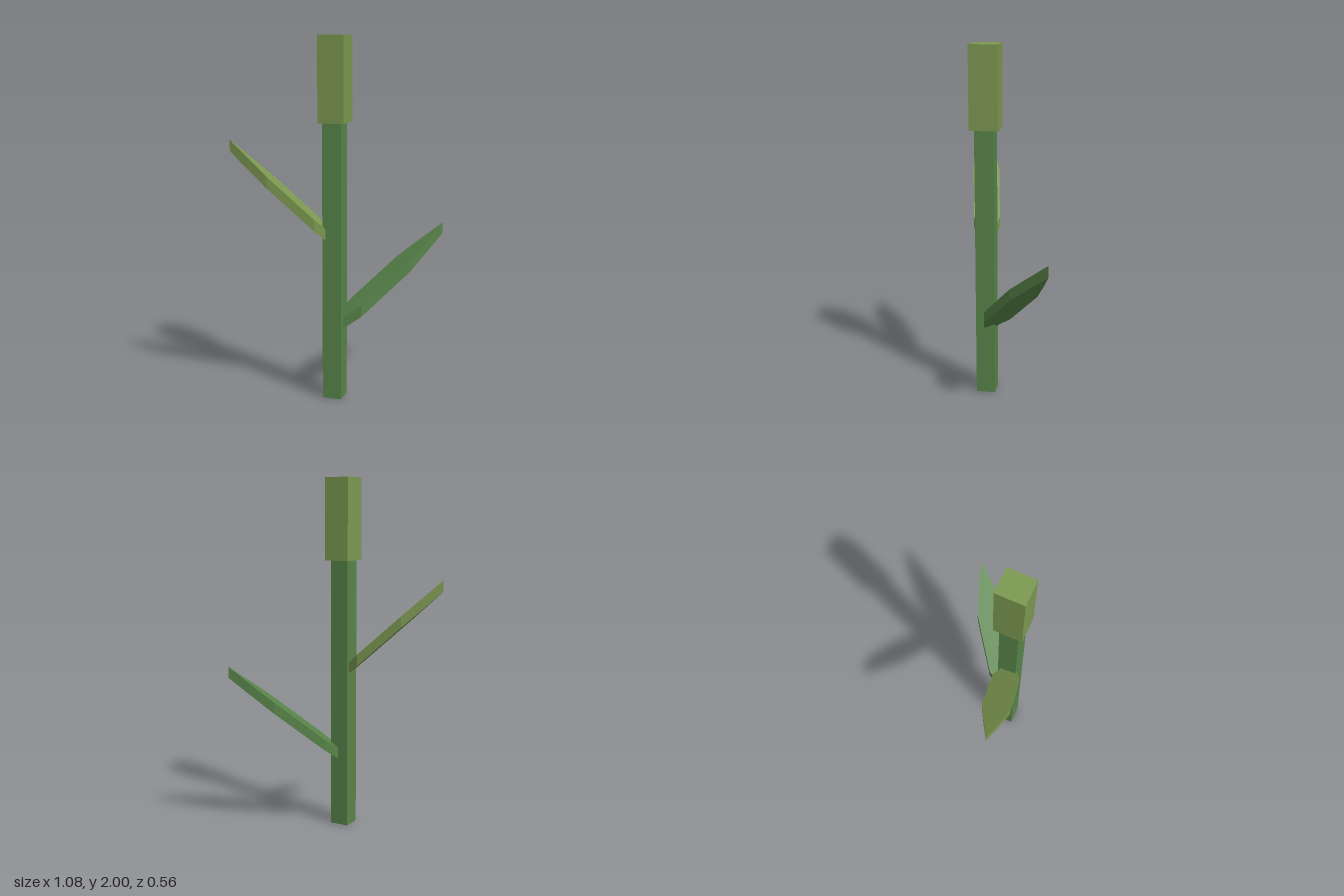
import * as THREE from 'three';

const stemGreen = new THREE.MeshStandardMaterial({ name: 'stemGreen', color: 0x588449 });
const oliveGreen = new THREE.MeshStandardMaterial({ name: 'oliveGreen', color: 0x7c9850 });

// Square post between two heights
function post(name, material, [x0, x1], [y0, y1], [z0, z1]) {
  const mesh = new THREE.Mesh(new THREE.BoxGeometry(x1 - x0, y1 - y0, z1 - z0), material);
  mesh.position.set((x0 + x1) / 2, (y0 + y1) / 2, (z0 + z1) / 2);
  mesh.name = name;
  return mesh;
}

// Leaf blade: an outline in plan (x, z), given thickness, then sheared
// so that its upper face lies on the plane y = base + slopeX * x + slopeZ * z
function leaf(name, material, outline, base, slopeX, slopeZ) {
  const thickness = 0.064;
  const shape = new THREE.Shape(outline.map(([x, z]) => new THREE.Vector2(x, -z)));
  const geometry = new THREE.ExtrudeGeometry(shape, { depth: thickness, bevelEnabled: false });
  geometry.rotateX(-Math.PI / 2);
  const p = geometry.attributes.position;
  for (let i = 0; i < p.count; i++) {
    p.setY(i, p.getY(i) - thickness + base + slopeX * p.getX(i) + slopeZ * p.getZ(i));
  }
  geometry.computeVertexNormals();
  const mesh = new THREE.Mesh(geometry, material);
  mesh.name = name;
  return mesh;
}

export function createModel() {
  const plant = new THREE.Group();
  plant.name = 'plant';

  // Stem and bud
  plant.add(post('stem', stemGreen, [-0.026, 0.081], [0, 1.54], [0.083, 0.19]));
  plant.add(post('bud', oliveGreen, [-0.043, 0.102], [1.54, 2], [0.055, 0.215]));

  // Lower leaf, leaning to the left and back
  plant.add(leaf('lowerLeaf', stemGreen, [
    [0.03, 0.152], [0.175, 0.125], [0.40, -0.055], [0.48, -0.18], [0.54, -0.28],
    [0.42, -0.24], [0.293, -0.19], [0.068, -0.008], [0.02, 0.125],
  ], 0.475, 0.64, -0.45));

  // Upper leaf, leaning to the right
  plant.add(leaf('upperLeaf', oliveGreen, [
    [0.03, 0.116], [-0.09, 0.08], [-0.34, 0.127], [-0.44, 0.182], [-0.54, 0.242],
    [-0.43, 0.261], [-0.312, 0.276], [-0.06, 0.225], [0.03, 0.165],
  ], 0.92, -0.87, 0.21));

  return plant;
}
